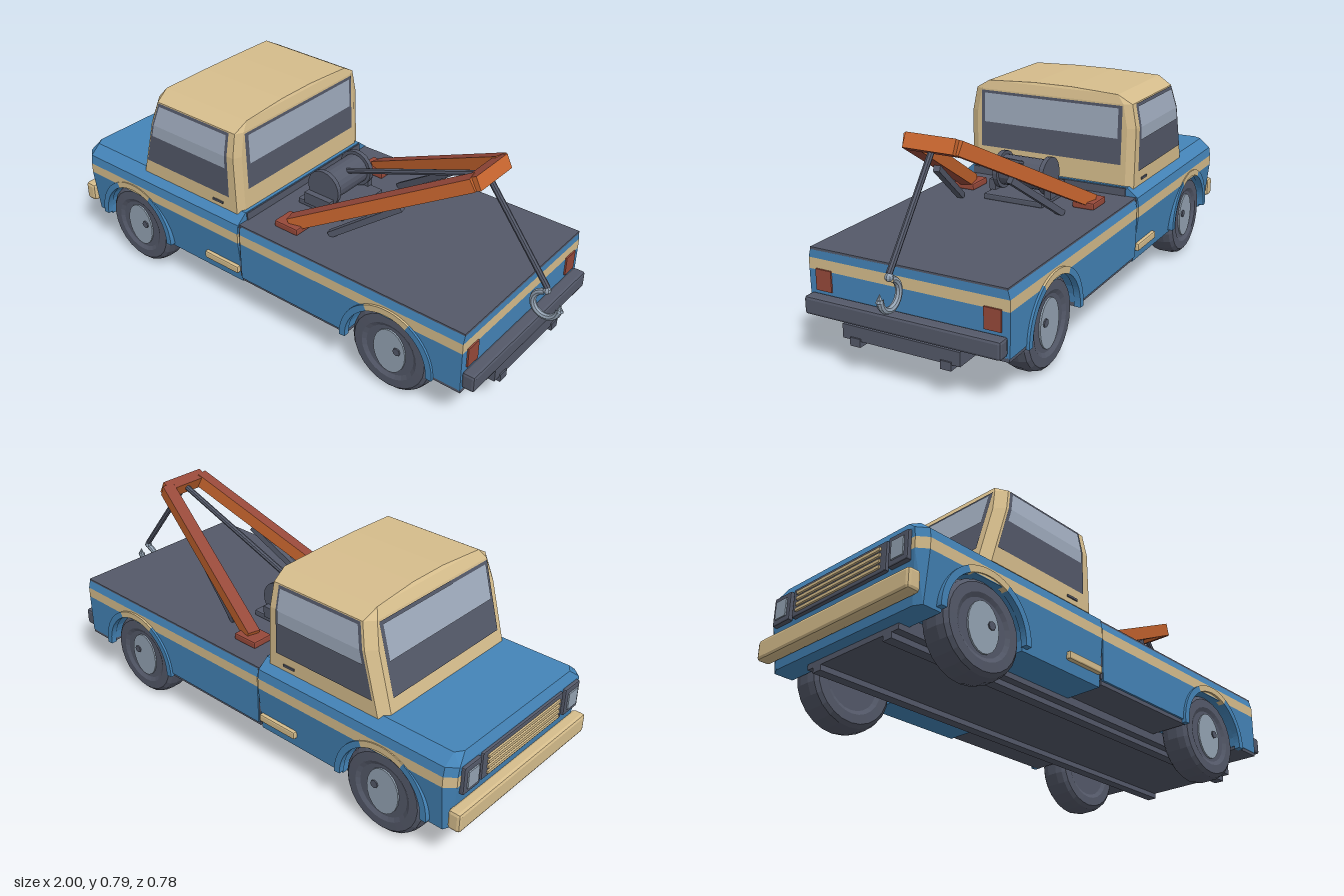
import * as THREE from 'three';
import { RoundedBoxGeometry } from 'three/addons/geometries/RoundedBoxGeometry.js';
import { ConvexGeometry } from 'three/addons/geometries/ConvexGeometry.js';

const V = (x, y, z) => new THREE.Vector3(x, y, z);

export function createModel() {
  const root = new THREE.Group();
  root.name = 'towTruck';
  const material = (name, color, side = THREE.FrontSide) => {
    const m = new THREE.MeshStandardMaterial({ color, side, flatShading: true });
    m.name = name;
    return m;
  };
  const blue = material('bodyBlue', 0x4484b8);
  const cream = material('cream', 0xd6bd8c);
  const dark = material('darkGrey', 0x545969, THREE.DoubleSide);
  const glass = material('paleGlass', 0x9fabbd, THREE.DoubleSide);
  const steel = material('steel', 0x94a3b3);
  const orange = material('boomOrange', 0xc9662f);
  const red = material('dullRed', 0x97493a);

  const add = (name, geo, mat, x = 0, y = 0, z = 0) => {
    const m = new THREE.Mesh(geo, mat);
    m.name = name;
    m.position.set(x, y, z);
    root.add(m);
    return m;
  };
  // Box given by its limits on each axis
  const box = (name, mat, x0, x1, y0, y1, z0, z1, r = 0) => {
    const s = [x1 - x0, y1 - y0, z1 - z0];
    const geo = r ? new RoundedBoxGeometry(...s, 1, r) : new THREE.BoxGeometry(...s);
    return add(name, geo, mat, (x0 + x1) / 2, (y0 + y1) / 2, (z0 + z1) / 2);
  };
  // Bar between two points
  const bar = (name, mat, a, b, w, h) => {
    const m = add(name, new THREE.BoxGeometry(w, h, a.distanceTo(b)), mat);
    m.position.copy(a).lerp(b, 0.5);
    m.lookAt(b);
    return m;
  };
  const rod = (name, mat, a, b, r) =>
    add(name, new THREE.TubeGeometry(new THREE.LineCurve3(a, b), 1, r, 8), mat);

  const wheelY = 0.168, archR = 0.175;

  // Horizontal slice of bodywork whose half width changes with height, with an optional wheel arch
  const layer = (name, mat, x0, x1, [y0, w0], [y1, w1], archX) => {
    const s = new THREE.Shape();
    s.moveTo(x0, y0);
    if (archX !== undefined) {
      const a0 = Math.asin((y0 - wheelY) / archR);
      for (let i = 0; i <= 16; i++) {
        const a = Math.PI - a0 - (Math.PI - 2 * a0) * i / 16;
        s.lineTo(archX + archR * Math.cos(a), Math.min(wheelY + archR * Math.sin(a), y1 - 0.003));
      }
    }
    s.lineTo(x1, y0);
    s.lineTo(x1, y1);
    s.lineTo(x0, y1);
    const g = new THREE.ExtrudeGeometry(s, { depth: 1, bevelEnabled: false });
    const p = g.attributes.position;
    for (let i = 0; i < p.count; i++) {
      const w = w0 + (w1 - w0) * (p.getY(i) - y0) / (y1 - y0);
      p.setZ(i, (p.getZ(i) * 2 - 1) * w);
    }
    g.computeVertexNormals();
    add(name, g, mat);
  };

  // Front body and tapered nose: rows of height, half width, nose front
  const cabRows = [[0.15, 0.365, -0.945], [0.33, 0.384, -0.965], [0.37, 0.384, -0.965],
    [0.405, 0.378, -0.965], [0.44, 0.335, -0.95]];
  const names = ['LowerBody', 'Stripe', 'UpperBody', 'Hood'];
  names.forEach((n, i) => {
    const a = cabRows[i], b = cabRows[i + 1], mat = i === 1 ? cream : blue;
    layer('front' + n, mat, -0.93, -0.124, a, b, i === 0 ? -0.685 : undefined);
    const pts = [];
    for (const [y, w, x] of [a, b]) for (const s of [-1, 1])
      pts.push(V(-0.93, y, s * w), V(x, y, s * (w - 0.03)));
    add('nose' + n, new ConvexGeometry(pts), mat);
  });

  // Rear bed
  const bedRows = [[0.175, 0.378], [0.33, 0.38], [0.37, 0.38], [0.4, 0.372]];
  for (let i = 0; i < 3; i++)
    layer('bed' + names[i], i === 1 ? cream : blue, -0.117, 0.85, bedRows[i], bedRows[i + 1], i === 0 ? 0.55 : undefined);
  box('bedFloor', dark, -0.123, 0.85, 0.398, 0.407, -0.372, 0.372);
  box('bulkhead', dark, -0.125, -0.119, 0.405, 0.437, -0.33, 0.33);
  box('bodySeam', dark, -0.126, -0.115, 0.18, 0.4, -0.374, 0.374);

  // Chassis
  box('chassisSlab', dark, -0.9, 0.89, 0.13, 0.18, -0.224, 0.224);
  box('skirtMiddle', dark, -0.12, 0.372, 0.16, 0.178, -0.37, 0.37);
  box('skirtRear', dark, 0.728, 0.85, 0.163, 0.178, -0.376, 0.376);
  for (const s of [-1, 1]) box('chassisRail', dark, -0.9, 0.895, 0.11, 0.14, s * 0.173 - 0.02, s * 0.173 + 0.02);

  // Bumpers, steps and lamps
  box('frontBumper', cream, -1, -0.95, 0.175, 0.25, -0.375, 0.375, 0.012);
  box('rearBumper', dark, 0.848, 0.898, 0.185, 0.25, -0.372, 0.372, 0.01);
  for (const s of [-1, 1]) {
    box('sideStep', cream, -0.3, -0.13, 0.192, 0.222, s * 0.376 - 0.011, s * 0.376 + 0.011, 0.006);
    box('tailLamp', red, 0.846, 0.856, 0.26, 0.335, s * 0.32 - 0.031, s * 0.32 + 0.031);
    box('headlampFrame', dark, -0.978, -0.955, 0.295, 0.4, s * 0.292 - 0.045, s * 0.292 + 0.045, 0.005);
    box('headlampLens', steel, -0.983, -0.976, 0.315, 0.38, s * 0.292 - 0.028, s * 0.292 + 0.028);
    box('doorHandle', dark, -0.27, -0.22, 0.449, 0.457, s * 0.351 - 0.004, s * 0.351 + 0.004);
  }
  box('grille', dark, -0.975, -0.955, 0.295, 0.4, -0.235, 0.235, 0.005);
  for (let i = 0; i < 4; i++)
    box('grilleBar', cream, -0.982, -0.973, 0.31 + i * 0.021, 0.321 + i * 0.021, -0.21, 0.21);

  // Cab shell
  const frontX = y => -0.67 + (y - 0.43) * 0.28;
  const rearX = y => -0.137 - (y - 0.43) * 0.03;
  const sideZ = y => 0.35 - Math.max(0, y - 0.66) * 0.2;
  const shell = [];
  for (const s of [-1, 1]) {
    for (const y of [0.43, 0.66, 0.75]) {
      const z = sideZ(y);
      shell.push(V(frontX(y), y, s * (z - 0.035)), V(frontX(y) + 0.03, y, s * z),
        V(rearX(y) - 0.015, y, s * z), V(rearX(y), y, s * (z - 0.03)));
    }
    shell.push(V(-0.56, 0.783, s * 0.275), V(-0.155, 0.783, s * 0.275),
      V(-0.55, 0.792, s * 0.08), V(-0.16, 0.792, s * 0.08));
  }
  add('cabShell', new ConvexGeometry(shell), cream);

  // Window panes lofted between heights; at(t, y) gives the point across the pane
  const pane = (name, mat, ys, at) => {
    const p = [];
    for (let i = 0; i < ys.length - 1; i++) {
      const a = at(0, ys[i]), b = at(1, ys[i]), c = at(1, ys[i + 1]), d = at(0, ys[i + 1]);
      for (const v of [a, b, c, a, c, d]) p.push(v.x, v.y, v.z);
    }
    const g = new THREE.BufferGeometry();
    g.setAttribute('position', new THREE.Float32BufferAttribute(p, 3));
    g.computeVertexNormals();
    add(name, g, mat);
  };
  const across = (x, off, half) => (t, y) => V(x(y) + off, y, (1 - 2 * t) * half);
  pane('windshieldFrame', dark, [0.49, 0.745], across(frontX, -0.003, 0.293));
  pane('windshieldGlass', glass, [0.61, 0.735], across(frontX, -0.006, 0.28));
  pane('rearWindowFrame', dark, [0.52, 0.745], across(rearX, 0.003, 0.3));
  pane('rearWindowGlass', glass, [0.62, 0.735], across(rearX, 0.006, 0.285));
  for (const s of [-1, 1]) {
    const side = (inset, off) => (t, y) => V(
      t ? -0.187 - inset : frontX(y) + 0.037 + inset, y, s * (sideZ(y) + off));
    pane('sideWindowFrame', dark, [0.49, 0.66, 0.748], side(0, 0.003));
    pane('sideWindowGlass', glass, [0.61, 0.66, 0.738], side(0.01, 0.006));
  }

  // Wheels and arch lips
  const tyre = new THREE.LatheGeometry([[0, -0.05], [0.1, -0.05], [0.115, -0.058], [0.148, -0.057], [0.161, -0.045],
    [0.168, -0.02], [0.168, 0.02], [0.161, 0.045], [0.148, 0.057], [0.115, 0.058], [0.1, 0.05], [0, 0.05]]
    .map(([r, y]) => new THREE.Vector2(r, y)), 24).rotateX(Math.PI / 2);
  const hub = new THREE.CylinderGeometry(0.09, 0.09, 0.012, 20).rotateX(Math.PI / 2).scale(0.74, 1, 1);
  const nut = new THREE.CylinderGeometry(0.015, 0.015, 0.012, 8).rotateX(Math.PI / 2);
  const lip = (a0, a1) => {
    const s = new THREE.Shape();
    s.absarc(0, 0, 0.195, a0, a1, false);
    s.absarc(0, 0, 0.171, a1, a0, true);
    return new THREE.ExtrudeGeometry(s, { depth: 0.024, bevelEnabled: false, curveSegments: 8 });
  };
  const D = Math.PI / 180;
  for (const [x, z] of [[-0.685, 0.312], [0.55, 0.303]]) for (const s of [-1, 1]) {
    add('tyre', tyre, dark, x, wheelY, s * z);
    add('hub', hub, steel, x, wheelY, s * (z + 0.05));
    add('hubNut', nut, dark, x + 0.033, wheelY + 0.015, s * (z + 0.055));
    for (const [a, b, m] of [[-2, 62, blue], [62, 118, cream], [118, 182, blue]])
      add('archLip', lip(a * D, b * D), m, x, wheelY, s * 0.376 - 0.012);
  }

  // Lifting boom: orange sides with red top and bottom
  const boomMats = [orange, orange, red, red, orange, orange];
  for (const s of [-1, 1]) {
    box('boomFoot', red, -0.02, 0.085, 0.405, 0.432, s * 0.252 - 0.043, s * 0.252 + 0.043, 0.006);
    bar('boomArm', boomMats, V(0.03, 0.425, s * 0.255), V(0.67, 0.76, s * 0.085), 0.048, 0.05);
    bar('boomStrut', dark, V(0.17, 0.41, s * 0.21), V(0.43, 0.595, s * 0.145), 0.024, 0.024);
  }
  const head = add('boomHead', new THREE.BoxGeometry(0.046, 0.052, 0.19), boomMats, 0.67, 0.757, 0);
  head.rotation.z = 0.45;

  // Winch
  const drum = (r, w) => new THREE.CylinderGeometry(r, r, w, 20).rotateX(Math.PI / 2);
  box('winchBase', dark, -0.055, 0.155, 0.407, 0.43, -0.122, 0.122, 0.005);
  add('winchDrum', drum(0.058, 0.18), dark, 0.05, 0.5, 0);
  for (const s of [-1, 1]) {
    add('winchFlange', drum(0.071, 0.018), dark, 0.05, 0.5, s * 0.095);
    box('winchBracket', dark, -0.02, 0.1, 0.425, 0.47, s * 0.115 - 0.013, s * 0.115 + 0.013);
  }

  // Cable and hook
  rod('winchCable', dark, V(0.08, 0.54, 0), V(0.67, 0.755, 0), 0.011);
  rod('hangingCable', dark, V(0.67, 0.745, 0), V(0.93, 0.41, 0), 0.011);
  add('hookEye', new THREE.SphereGeometry(0.015, 8, 6), steel, 0.93, 0.4, 0);
  const hook = add('hook', new THREE.TorusGeometry(0.05, 0.012, 8, 16, 265 * D), steel, 0.932, 0.342, 0);
  hook.rotation.z = 100 * D;
  const tip = add('hookTip', new THREE.ConeGeometry(0.013, 0.03, 8), steel, 0.984, 0.35, 0);
  tip.rotation.z = 0.1;

  return root;
}
